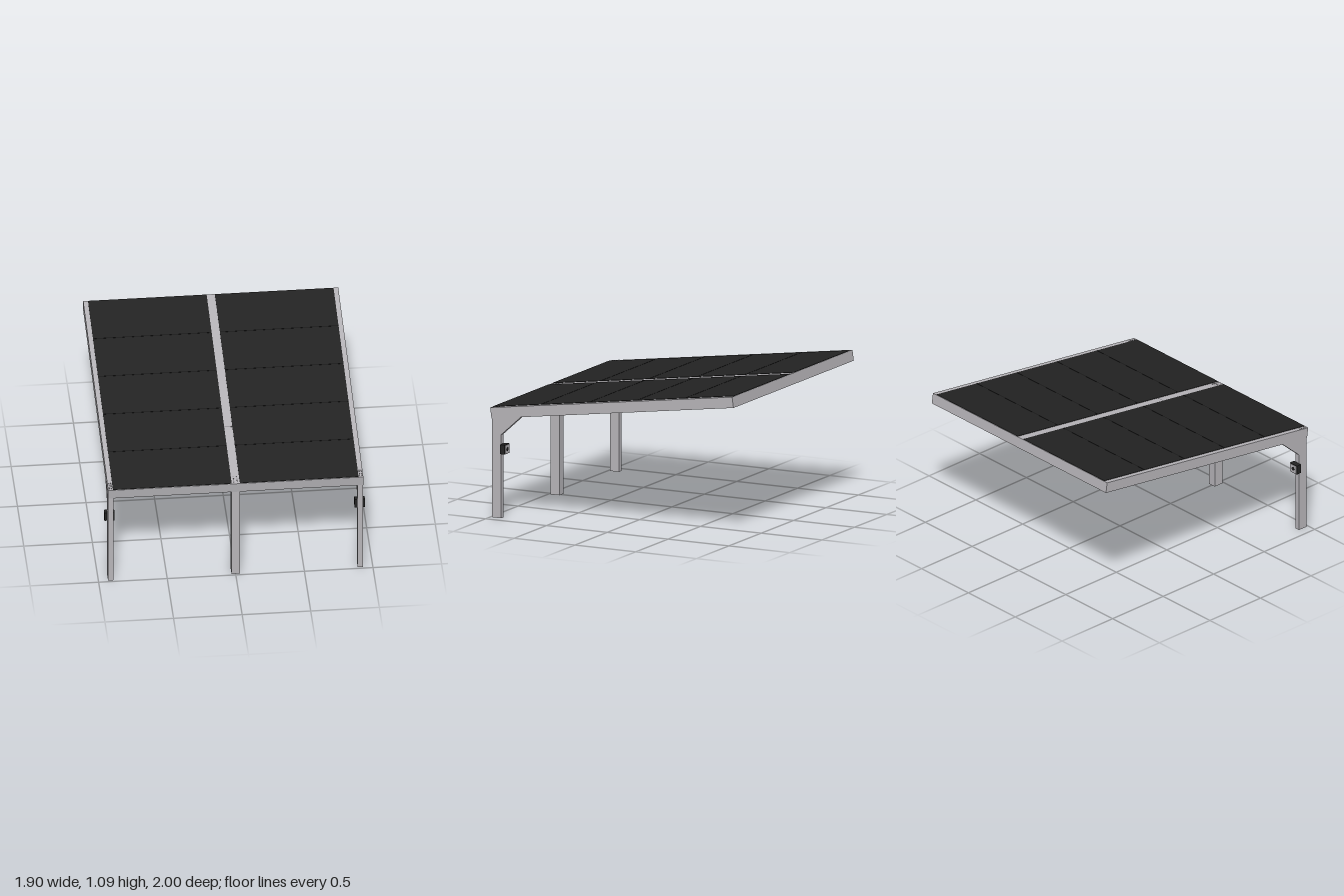
import * as THREE from 'three';

const mat = (name, color) => {
  const m = new THREE.MeshStandardMaterial({ color });
  m.name = name;
  return m;
};

export function createModel() {
  const model = new THREE.Group();
  model.name = 'solarCarport';
  const metal = mat('light grey metal', 0xb6b4b8);
  const black = mat('panel black', 0x222222);
  const dark = mat('seam black', 0x121212);
  const boltGrey = mat('bolt grey', 0x77767a);

  const add = (parent, name, geometry, material, x, y, z) => {
    const mesh = new THREE.Mesh(geometry, material);
    mesh.name = name;
    mesh.position.set(x, y, z);
    parent.add(mesh);
    return mesh;
  };
  const box = (parent, name, material, w, h, d, x, y, z) =>
    add(parent, name, new THREE.BoxGeometry(w, h, d), material, x, y, z);

  // Tilted roof: local y = 0 is the top of the frame
  const roof = new THREE.Group();
  roof.name = 'roof';
  roof.position.set(0, 0.951, 0.0055);
  roof.rotation.x = 0.139;
  model.add(roof);
  const L = 2.009, H = 0.08, W = 1.86;

  // Rails running front to back
  const rails = [[-0.9125, 0.035], [0, 0.06], [0.9125, 0.035]];
  for (const [x, w] of rails) {
    box(roof, 'rail', metal, w, H, L, x, -H / 2, 0);
    // Bolts at the front end of each rail
    for (const sx of [-1, 1]) for (let i = 0; i < 4; i++)
      add(roof, 'bolt', new THREE.CylinderGeometry(0.004, 0.004, 0.004, 8), boltGrey,
        x + sx * w * 0.22, 0.001, 0.93 + i * 0.018);
  }
  box(roof, 'railJoint', boltGrey, 0.06, 0.002, 0.005, 0, 0.0005, 0.4);

  // Front and rear beams between the rails, underside sheets and panels
  for (const s of [-1, 1]) {
    const x = s * 0.4625, w = 0.865;
    for (const e of [-1, 1])
      box(roof, e > 0 ? 'frontBeam' : 'rearBeam', metal, w, H, 0.02, x, -H / 2, e * (L / 2 - 0.01));
    box(roof, 'undersideSheet', metal, w, H - 0.006, L - 0.04, x, -H / 2 - 0.003, 0);
    box(roof, 'solarPanel', black, w, 0.009, L - 0.008, x, -0.0015, 0);
    for (let i = -1.5; i < 2; i++)
      box(roof, 'panelSeam', dark, w, 0.002, 0.005, x, 0.0032, i * 0.4);
  }
  for (let i = -1.5; i < 2; i++)
    box(roof, 'undersideSeam', boltGrey, W, 0.002, 0.005, 0, -H - 0.0002, i * 0.4);

  // Triangular brace profile, drawn in the z-y plane
  const brace = new THREE.Shape([
    new THREE.Vector2(-0.92, 0.62), new THREE.Vector2(-0.91, 0.62),
    new THREE.Vector2(-0.75, 0.765), new THREE.Vector2(-0.75, 0.785),
    new THREE.Vector2(-0.92, 0.76),
  ]);

  // Posts with braces
  for (const [x, w] of [[-0.91, 0.04], [0, 0.06], [0.91, 0.04]]) {
    box(model, 'post', metal, w, 0.765, 0.075, x, 0.3825, 0.9475);
    const g = new THREE.ExtrudeGeometry(brace, { depth: w - 0.002, bevelEnabled: false });
    g.translate(0, 0, -(w - 0.002) / 2);
    g.rotateY(Math.PI / 2);
    add(model, 'brace', g, metal, x, 0, 0);
  }

  // Charging boxes on the back of the outer posts
  for (const s of [-1, 1]) {
    const x = s * 0.9125, y = 0.515;
    box(model, 'chargerBox', black, 0.075, 0.07, 0.04, x, y, 0.89);
    box(model, 'chargerFace', metal, 0.067, 0.062, 0.004, x, y, 0.8695);
    const socket = add(model, 'chargerSocket',
      new THREE.CylinderGeometry(0.013, 0.013, 0.004, 20), black, x, y, 0.867);
    socket.rotation.x = Math.PI / 2;
  }

  return model;
}
